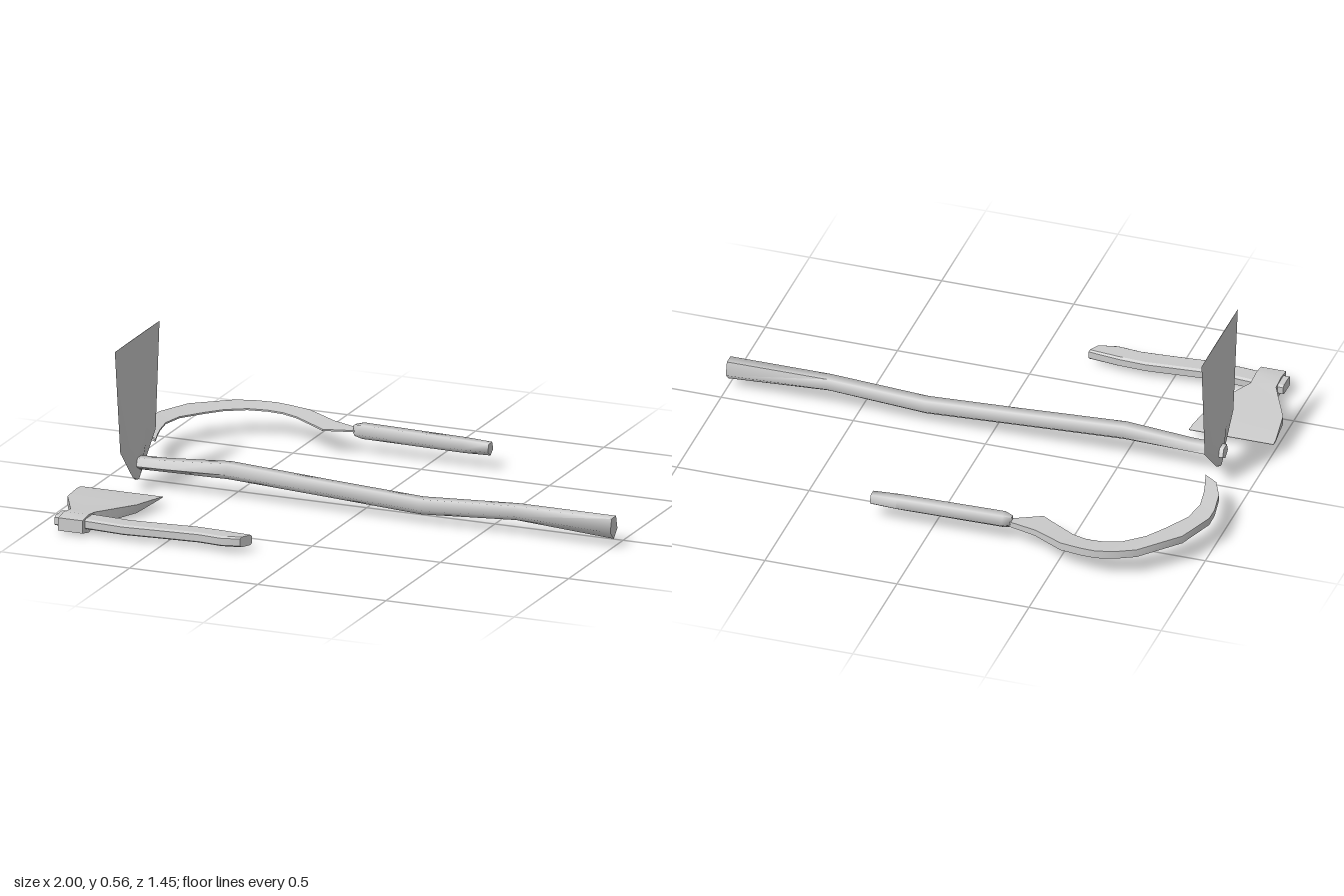
import * as THREE from 'three';
import { toCreasedNormals } from 'three/addons/utils/BufferGeometryUtils.js';

const material = new THREE.MeshStandardMaterial({ color: 0xcccccc, side: THREE.DoubleSide });

// Skins a list of equal rings of [x, y, z] points, with both ends closed.
function loft(name, rings, crease) {
  const n = rings[0].length;
  const tris = [];
  for (let i = 0; i < rings.length - 1; i++) {
    for (let j = 0; j < n; j++) {
      const k = (j + 1) % n;
      const a = rings[i][j], b = rings[i][k], c = rings[i + 1][k], d = rings[i + 1][j];
      tris.push([a, b, c], [a, c, d]);
    }
  }
  const first = rings[0], last = rings[rings.length - 1];
  for (let j = 1; j < n - 1; j++) {
    tris.push([first[0], first[j + 1], first[j]], [last[0], last[j], last[j + 1]]);
  }
  // Turn the faces outward if the rings ran the other way round
  let volume = 0;
  for (const t of tris) {
    const [a, b, c] = t.map((p) => new THREE.Vector3(...p));
    volume += a.dot(b.cross(c));
  }
  if (volume < 0) tris.forEach((t) => t.reverse());
  const geometry = new THREE.BufferGeometry();
  geometry.setAttribute('position', new THREE.Float32BufferAttribute(tris.flat(2), 3));
  const mesh = new THREE.Mesh(toCreasedNormals(geometry, crease), material);
  mesh.name = name;
  return mesh;
}

// Five-sided pole along x, point down; stations are [x, bottom, top, half width].
function pole(name, z, stations) {
  const rings = stations.map(([x, bottom, top, half]) => {
    const ry = (top - bottom) / 1.809;
    const rz = half / 0.951;
    return Array.from({ length: 5 }, (_, i) => {
      const a = (i * Math.PI * 2) / 5;
      return [x, bottom + ry - ry * Math.cos(a), z + rz * Math.sin(a)];
    });
  });
  return loft(name, rings, 1.3);
}

function createHoe() {
  const hoe = new THREE.Group();
  hoe.name = 'hoe';
  hoe.add(pole('hoeHandle', 0.085, [
    [-0.88, 0.065, 0.112, 0.03], [-0.75, 0.067, 0.115, 0.03], [-0.5, 0.07, 0.133, 0.032],
    [-0.1, 0.049, 0.11, 0.032], [0.25, 0.03, 0.092, 0.032],
    [0.62, 0.054, 0.112, 0.032], [1, 0.03, 0.111, 0.033],
  ]));
  // Upright blade, lens-shaped across and thinning upward: [y, z min, z max, half thickness]
  const rings = [
    [0.03, 0.075, 0.105, 0.006], [0.045, 0.05, 0.13, 0.007],
    [0.17, -0.08, 0.245, 0.007], [0.565, -0.115, 0.295, 0.001],
  ].map(([y, z0, z1, t]) => {
    const m = z0 + (z1 - z0) * 0.3, p = z0 + (z1 - z0) * 0.7, x = -0.857;
    return [[x, y, z0], [x + t, y, m], [x + t, y, p], [x, y, z1], [x - t, y, p], [x - t, y, m]];
  });
  hoe.add(loft('hoeBlade', rings, 0.5));
  return hoe;
}

function createSickle() {
  const sickle = new THREE.Group();
  sickle.name = 'sickle';
  sickle.add(pole('sickleHandle', -0.595, [
    [-0.3, 0.062, 0.104, 0.015], [-0.27, 0.054, 0.111, 0.029],
    [0.13, 0.05, 0.104, 0.03], [0.23, 0.053, 0.1, 0.025],
  ]));
  // Curved blade, thick at its back: [outer x, outer z, inner x, inner z, thickness]
  const rings = [
    [-0.28, -0.605, -0.28, -0.585, 0.02], [-0.4, -0.64, -0.4, -0.535, 0.024],
    [-0.46, -0.672, -0.445, -0.565, 0.028], [-0.52, -0.705, -0.54, -0.625, 0.03],
    [-0.6, -0.72, -0.6, -0.645, 0.03], [-0.66, -0.725, -0.66, -0.645, 0.03],
    [-0.73, -0.71, -0.73, -0.625, 0.03], [-0.8, -0.68, -0.8, -0.57, 0.03],
    [-0.93, -0.55, -0.85, -0.5, 0.03], [-0.985, -0.41, -0.905, -0.41, 0.028],
    [-0.985, -0.35, -0.92, -0.32, 0.026], [-0.968, -0.25, -0.907, -0.24, 0.024],
    [-0.93, -0.165, -0.892, -0.18, 0.018], [-0.876, -0.12, -0.874, -0.122, 0.006],
  ].map(([ox, oz, ix, iz, t]) => {
    const level = (x, z) => 0.077 - 0.039 * x + 0.015 * z;
    const yo = level(ox, oz), yi = level(ix, iz) + 0.004;
    return [[ox, yo + t / 2, oz], [ix, yi + 0.003, iz], [ix, yi - 0.003, iz], [ox, yo - t / 2, oz]];
  });
  sickle.add(loft('sickleBlade', rings, 0.6));
  return sickle;
}

function createAxe() {
  const axe = new THREE.Group();
  axe.name = 'axe';
  // Handle with bevelled long edges: [x back, x front, z back, z front]
  const handle = [
    [-0.92, -0.92, 0.62, 0.7], [-0.8, -0.8, 0.62, 0.7], [-0.65, -0.65, 0.633, 0.713],
    [-0.5, -0.5, 0.62, 0.7], [-0.4, -0.36, 0.611, 0.69], [-0.3, -0.27, 0.615, 0.699],
    [-0.18, -0.205, 0.63, 0.68],
  ].map(([xb, xf, zb, zf]) => [[0, 0.027], [0.12, 0.021], [0.88, 0.021], [1, 0.027],
    [1, 0.053], [0.88, 0.059], [0.12, 0.059], [0, 0.053]].map(([f, y]) =>
    [xb + (xf - xb) * f, y, zb + (zf - zb) * f]));
  axe.add(loft('axeHandle', handle, 0.5));

  // Head from the poll to the cutting edge: [z, x min, x max, y min, y max]
  const head = [
    [0.72, -0.898, -0.802, 0.012, 0.06], [0.665, -0.898, -0.802, 0, 0.068],
    [0.605, -0.898, -0.802, 0.011, 0.06], [0.44, -0.98, -0.71, 0.02, 0.051],
    [0.3, -1, -0.683, 0.032, 0.04], [0.27, -1, -0.68, 0.034, 0.036],
  ].map(([z, x0, x1, y0, y1]) => [[x0, y0, z], [x1, y0, z], [x1, y1, z], [x0, y1, z]]);
  axe.add(loft('axeHead', head, 0.5));
  return axe;
}

export function createModel() {
  const model = new THREE.Group();
  model.name = 'farmTools';
  model.add(createHoe(), createSickle(), createAxe());
  return model;
}
